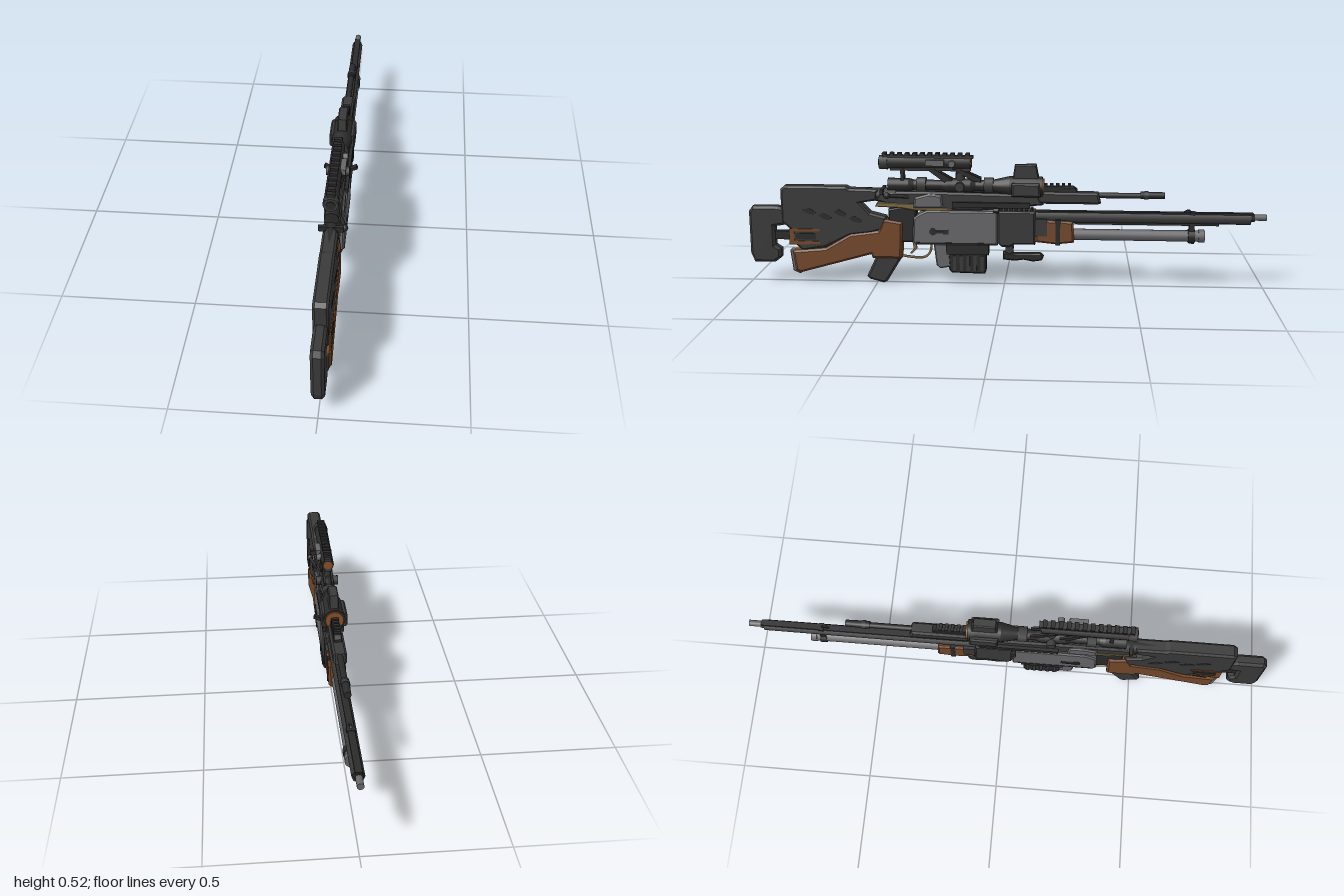
import * as THREE from 'three';

const mat = (name, color, side = THREE.FrontSide) => {
  const m = new THREE.MeshStandardMaterial({ color, side });
  m.name = name;
  return m;
};

export function createModel() {
  const root = new THREE.Group();
  root.name = 'rifle';
  const dark = mat('dark polymer', 0x3a3a3a);
  const black = mat('black metal', 0x2b2b2b);
  const steel = mat('grey steel', 0x67676a);
  const wood = mat('wood', 0x74482a);
  const brass = mat('brass', 0x7d6a45);
  const glass = mat('amber lens', 0x8a5228);

  const add = (name, geo, m, x = 0, y = 0, z = 0) => {
    const mesh = new THREE.Mesh(geo, m);
    mesh.name = name;
    mesh.position.set(x, y, z);
    root.add(mesh);
    return mesh;
  };
  // Side profile of [z, y] points, extruded across x with chamfered edges
  const plate = (name, pts, w, m, bevel = 0.005, x = 0, holes = []) => {
    const s = new THREE.Shape(pts.map(p => new THREE.Vector2(...p)));
    holes.forEach(h => s.holes.push(new THREE.Path(h.map(p => new THREE.Vector2(...p)))));
    const g = new THREE.ExtrudeGeometry(s, {
      depth: w - 2 * bevel, bevelEnabled: bevel > 0, bevelThickness: bevel,
      bevelSize: bevel, bevelOffset: -bevel, bevelSegments: 1,
    });
    g.translate(0, 0, -(w - 2 * bevel) / 2).rotateY(-Math.PI / 2);
    return add(name, g, m, x);
  };
  // Box given by its extents along z and y
  const box = (name, z0, z1, y0, y1, w, m, x = 0) =>
    add(name, new THREE.BoxGeometry(w, y1 - y0, Math.abs(z1 - z0)), m, x, (y0 + y1) / 2, (z0 + z1) / 2);
  // Cylinder along z; r1 is the radius at z1, the muzzle end
  const tube = (name, z0, z1, y, r0, m, r1 = r0, sides = 16, x = 0) =>
    add(name, new THREE.CylinderGeometry(r0, r1, z0 - z1, sides).rotateX(Math.PI / 2), m, x, y, (z0 + z1) / 2);
  // Cylinder across x
  const knob = (name, x, y, z, r, len, m, sides = 12) =>
    add(name, new THREE.CylinderGeometry(r, r, len, sides).rotateZ(Math.PI / 2), m, x, y, z);
  // Row of rail teeth
  const rail = (z0, z1, y, w, n, m = black) => {
    const step = (z0 - z1) / n;
    for (let i = 0; i < n; i++) box('railTooth', z0 - i * step, z0 - (i + 0.55) * step, y, y + 0.01, w, m);
  };

  // Butt pad and stock
  plate('buttPad', [[1, .115], [.985, .08], [.905, .08], [.878, .1], [.878, .135], [.9, .15], [.9, .225],
    [.84, .235], [.84, .295], [.885, .305], [.985, .305], [1, .285]], .046, dark, .01);
  plate('cheekStock', [[.87, .375], [.855, .388], [.615, .388], [.6, .38], [.49, .378], [.49, .335], [.56, .325],
    [.52, .285], [.46, .27], [.45, .225], [.52, .205], [.6, .195], [.7, .145], [.79, .13], [.835, .17],
    [.835, .215], [.87, .245]], .054, dark, .008);
  box('padRod', .92, .72, .172, .205, .024, black);
  for (const s of [-1, 1]) {
    plate('stockInlay', [[.84, .155], [.84, .22], [.72, .22], [.72, .21], [.82, .208], [.82, .172],
      [.72, .17], [.72, .16]], .006, wood, 0, s * .0275);
    box('inlayTongue', .815, .735, .178, .202, .006, black, s * .0275);
    for (const [z, y] of [[.76, .285], [.7, .265], [.64, .28], [.58, .255]])
      plate('stockGroove', [[z + .025, y + .01], [z, y + .018], [z - .03, y], [z - .02, y - .01], [z + .005, y - .004]],
        .004, black, 0, s * .0265);
  }
  plate('woodButt', [[.83, .13], [.82, .05], [.8, .042], [.52, .12], [.515, .105], [.4, .105], [.395, .25],
    [.47, .262], [.49, .215], [.6, .2], [.7, .142]], .06, wood, .008);
  plate('buttPlate', [[.842, .13], [.832, .048], [.805, .036], [.79, .048], [.815, .055], [.825, .13]], .042, steel, .003);
  plate('pistolGrip', [[.5, .115], [.54, .03], [.53, .018], [.475, .003], [.46, .01], [.405, .1], [.42, .115]],
    .042, dark, .008);

  // Trigger and guard
  const guard = new THREE.CatmullRomCurve3([[.42, .118], [.38, .108], [.31, .108], [.29, .13], [.285, .165]]
    .map(([z, y]) => new THREE.Vector3(0, y, z)));
  add('triggerGuard', new THREE.TubeGeometry(guard, 16, .005, 6), brass);
  plate('trigger', [[.36, .17], [.355, .14], [.37, .122], [.362, .12], [.342, .14], [.345, .17]], .01, brass, 0);

  // Receiver
  plate('receiver', [[.355, .175], [.35, .27], [.33, .285], [.3, .3], [.025, .3], [.025, .165], [.345, .165]],
    .074, steel, .006);
  plate('receiverTang', [[.45, .23], [.45, .3], [.34, .32], [.34, .17], [.4, .17]], .044, black, .005);
  for (const s of [-1, 1]) {
    knob('receiverPin', s * .038, .218, .275, .014, .006, black);
    box('safetyLever', .265, .235, .213, .223, .006, black, s * .039);
    box('receiverSlot', .235, .215, .208, .226, .004, black, s * .037);
    box('receiverSeam', .34, .03, .171, .175, .003, black, s * .037);
  }
  plate('breechBlock', [[.025, .175], [.025, .3], [-.12, .3], [-.12, .17], [-.04, .17], [-.02, .16], [.01, .16]],
    .07, dark, .006);
  rail(.02, -.12, .3, .034, 7);

  // Magazine
  plate('magazineHousing', [[.275, .165], [.265, .08], [.25, .066], [.2, .075], [.2, .165]], .044, steel, .005);
  box('magazineCollar', .225, .06, .125, .165, .058, black);
  plate('magazine', [[.22, .13], [.215, .062], [.205, .05], [.075, .047], [.07, .06], [.07, .13]], .046, black, .005);
  for (let i = 0; i < 5; i++) for (const s of [-1, 1])
    box('magazineRib', .2 - i * .027, .188 - i * .027, .06, .12, .006, dark, s * .024);

  // Folded foregrip below the breech block
  box('foregripPost', -.005, -.035, .12, .17, .03, black);
  knob('foregripPivot', 0, .147, -.02, .016, .044, dark);
  plate('foregrip', [[.005, .135], [.005, .105], [-.04, .1], [-.075, .105], [-.11, .098], [-.145, .103],
    [-.153, .118], [-.14, .13], [-.05, .128]], .034, black, .005);

  // Wooden fore-end, barrel and magazine tube
  plate('foreEnd', [[-.12, .18], [-.12, .268], [-.265, .262], [-.27, .18], [-.2, .172]], .064, wood, .007);
  box('foreEndBand', -.198, -.216, .17, .27, .067, black);
  box('foreEndInset', -.12, -.165, .205, .272, .068, dark);
  tube('barrelShroud', -.1, -.94, .276, .024, dark, .022, 8);
  box('barrelRib', -.1, -.95, .288, .3, .024, black);
  box('barrelUnderlug', -.27, -.82, .25, .268, .026, black);
  tube('barrelCrown', -.92, -.955, .281, .02, black, .015, 8);
  tube('muzzle', -.94, -1, .283, .012, steel);
  plate('frontSight', [[-.68, .298], [-.7, .31], [-.71, .31], [-.72, .298]], .008, black, 0);
  tube('magazineTube', -.26, -.75, .207, .022, steel);
  tube('magazineTubeCap', -.745, -.768, .207, .025, steel);
  box('barrelBand', -.708, -.728, .18, .302, .03, black);
  tube('barrelBandRing', -.705, -.731, .207, .0265, black);

  // Upper action and upper barrel
  plate('upperAction', [[.5, .335], [.48, .37], [.3, .372], [-.13, .365], [-.15, .325], [.1, .3], [.33, .3], [.43, .315]],
    .056, dark, .008);
  box('actionRail', .34, -.14, .36, .372, .034, black);
  plate('brassLiner', [[.5, .312], [.49, .33], [.33, .325], [.2, .308], [.2, .298], [.34, .298], [.4, .308]],
    .06, brass, .003);
  plate('ejectionPort', [[.35, .31], [.345, .35], [.29, .365], [.24, .36], [.235, .31]], .072, steel, .006);
  plate('gasBlock', [[-.12, .33], [-.12, .376], [-.36, .374], [-.37, .335], [-.36, .33]], .05, dark, .008);
  tube('upperBarrel', -.36, -.55, .362, .011, black);
  tube('muzzleBrake', -.52, -.613, .364, .015, black, .013, 12);
  tube('muzzleBrakeRing', -.535, -.55, .364, .0165, dark, .0165, 12);
  plate('frontRail', [[-.12, .37], [-.13, .396], [-.265, .396], [-.28, .385], [-.28, .37]], .03, black, .003);
  rail(-.13, -.265, .395, .028, 6);
  for (const s of [-1, 1]) {
    const wing = box('sideWing', .04, .02, -.006, .006, .038, black, s * .045);
    wing.position.y = .305;
    wing.rotation.z = s * .42;
    box('sideRail', .2, -.1, .315, .335, .012, black, s * .034);
  }

  // Bolt handle
  const boltPath = new THREE.LineCurve3(new THREE.Vector3(.02, .35, .36), new THREE.Vector3(.044, .36, .44));
  add('boltArm', new THREE.TubeGeometry(boltPath, 1, .007, 8), black);
  add('boltKnob', new THREE.SphereGeometry(.013, 10, 8), black, .046, .36, .45);
  box('chargingPlate', .478, .465, .362, .382, .09, black);
  tube('boltShroud', .58, .42, .355, .024, black, .028, 10);

  // Main scope
  const scope = [[.45, .026], [.37, .026], [.35, .02], [.24, .02], [.22, .027], [.13, .027], [.11, .02],
    [.04, .024], [-.02, .038], [-.13, .038]];
  for (let i = 0; i < scope.length - 1; i++)
    tube('scopeTube', scope[i][0], scope[i + 1][0], .395, scope[i][1], black, scope[i + 1][1], 16);
  for (const z of [.32, .06]) {
    tube('scopeRing', z + .018, z - .018, .395, .031, dark, .031, 8);
    box('scopeFoot', z + .018, z - .018, .36, .385, .036, dark);
  }
  knob('windageTurret', 0, .395, .17, .018, .086, dark);
  add('elevationTurret', new THREE.CylinderGeometry(.018, .018, .04, 12), dark, 0, .425, .17);
  plate('sunshade', [[-.03, .365], [-.03, .41], [-.04, .478], [-.122, .48], [-.13, .44], [-.135, .42], [-.15, .415],
    [-.15, .365]], .036, dark, .004);
  plate('shadeBody', [[-.03, .36], [-.03, .412], [-.135, .412], [-.14, .36]], .098, dark, .006);
  tube('objectiveRim', -.12, -.146, .392, .041, black);
  tube('objectiveLens', -.14, -.152, .392, .034, glass);

  // Upper sight on angled legs
  tube('sightTube', .475, .13, .482, .026, black, .024, 8);
  tube('sightEyepiece', .482, .45, .482, .028, dark, .028, 8);
  tube('sightEyeLens', .485, .478, .482, .017, black, .017, 8);
  tube('sightFrontLens', .135, .126, .482, .018, glass, .018, 8);
  box('sightRail', .47, .12, .5, .511, .026, dark);
  rail(.47, .12, .51, .03, 12);
  box('sightBase', .44, .13, .452, .466, .03, dark);
  box('sightKnobMount', .3, .23, .475, .497, .02, steel, .028);
  knob('sightKnob', .03, .483, .2, .013, .018, steel);
  for (const s of [-1, 1]) {
    box('rearLeg', .4, .386, .37, .46, .008, black, s * .013);
    plate('slantedLeg', [[.3, .46], [.27, .46], [.2, .42], [.2, .405], [.225, .405]], .008, black, 0, s * .015);
    plate('frontLeg', [[.2, .46], [.17, .46], [.09, .425], [.09, .41], [.12, .415]], .008, black, 0, s * .015);
  }

  return root;
}
